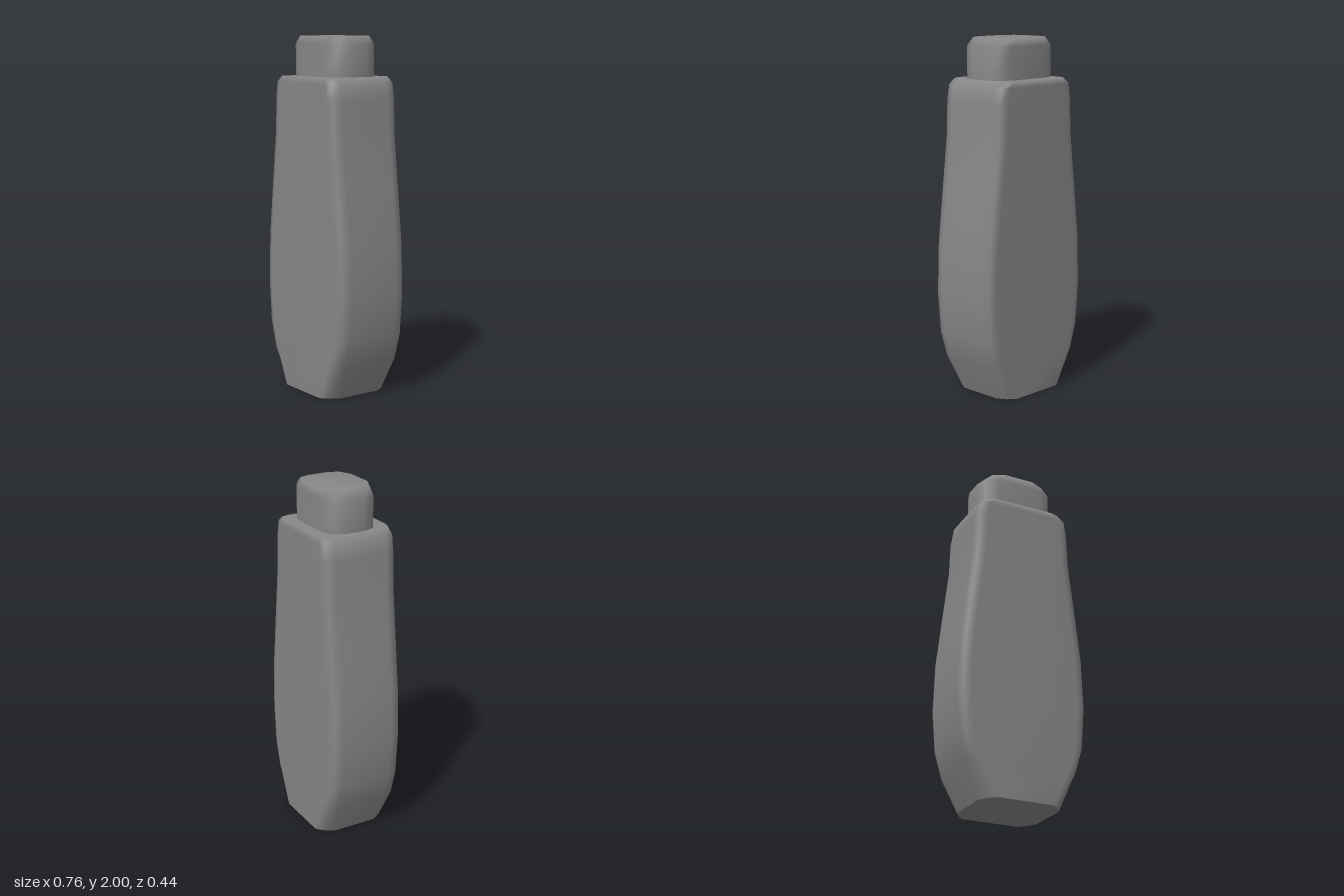
import * as THREE from 'three';

const material = new THREE.MeshStandardMaterial({ color: 0x878787 });

// Twelve-sided rounded rectangle; corner = [inset from the side, z] from side to front
function section(halfWidth, corner) {
  const quarter = corner.map(([inset, z]) => [halfWidth - inset, z]);
  const back = [...quarter].reverse();
  return [
    ...quarter,
    ...back.map(([x, z]) => [-x, z]),
    ...quarter.map(([x, z]) => [-x, -z]),
    ...back.map(([x, z]) => [x, -z]),
  ];
}

// Skin over stacked sections, profile = [halfWidth, y] from bottom to top.
// The top shares its rim with the sides (soft edge); the bottom has a hard edge.
function loft(name, profile, corner, footCorner = corner) {
  const positions = [];
  const indices = [];
  const addRing = ([w, y], ringCorner) =>
    section(w, ringCorner).forEach(([x, z]) => positions.push(x, y, z));
  profile.forEach((ring, r) => addRing(ring, r === 0 ? footCorner : corner));
  const n = corner.length * 4;
  for (let r = 0; r < profile.length - 1; r++) {
    for (let i = 0; i < n; i++) {
      const a = r * n + i;
      const b = r * n + (i + 1) % n;
      indices.push(a, a + n, b, b, a + n, b + n);
    }
  }
  // End faces as strips running from front to back
  const top = (profile.length - 1) * n;
  const bottom = profile.length * n;
  addRing(profile[0], footCorner);
  for (let i = 0; i < n / 2 - 1; i++) {
    const [a, b, c, d] = [i, i + 1, n - 2 - i, n - 1 - i];
    indices.push(...[a, c, b, a, d, c].map((k) => top + k));
    indices.push(...[a, b, c, a, c, d].map((k) => bottom + k));
  }
  const geometry = new THREE.BufferGeometry();
  geometry.setAttribute('position', new THREE.Float32BufferAttribute(positions, 3));
  geometry.setIndex(indices);
  geometry.computeVertexNormals();
  const mesh = new THREE.Mesh(geometry, material);
  mesh.name = name;
  return mesh;
}

export function createModel() {
  const group = new THREE.Group();
  group.name = 'bottle';

  // Waisted body of constant depth, with wider chamfers at the foot
  group.add(loft('body', [
    [0.237, 0], [0.316, 0.195], [0.361, 0.345], [0.38, 0.58], [0.37, 0.865],
    [0.335, 1.17], [0.301, 1.46], [0.294, 1.655], [0.279, 1.743], [0.235, 1.776],
  ],
  [[0, 0.155], [0.016, 0.205], [0.06, 0.219]],
  [[0, 0.13], [0.032, 0.182], [0.072, 0.219]]));

  // Cap with chamfered ends
  group.add(loft('cap', [
    [0.228, 1.77], [0.228, 1.955], [0.182, 2],
  ], [[0, 0.052], [0.022, 0.12], [0.095, 0.154]]));

  return group;
}
